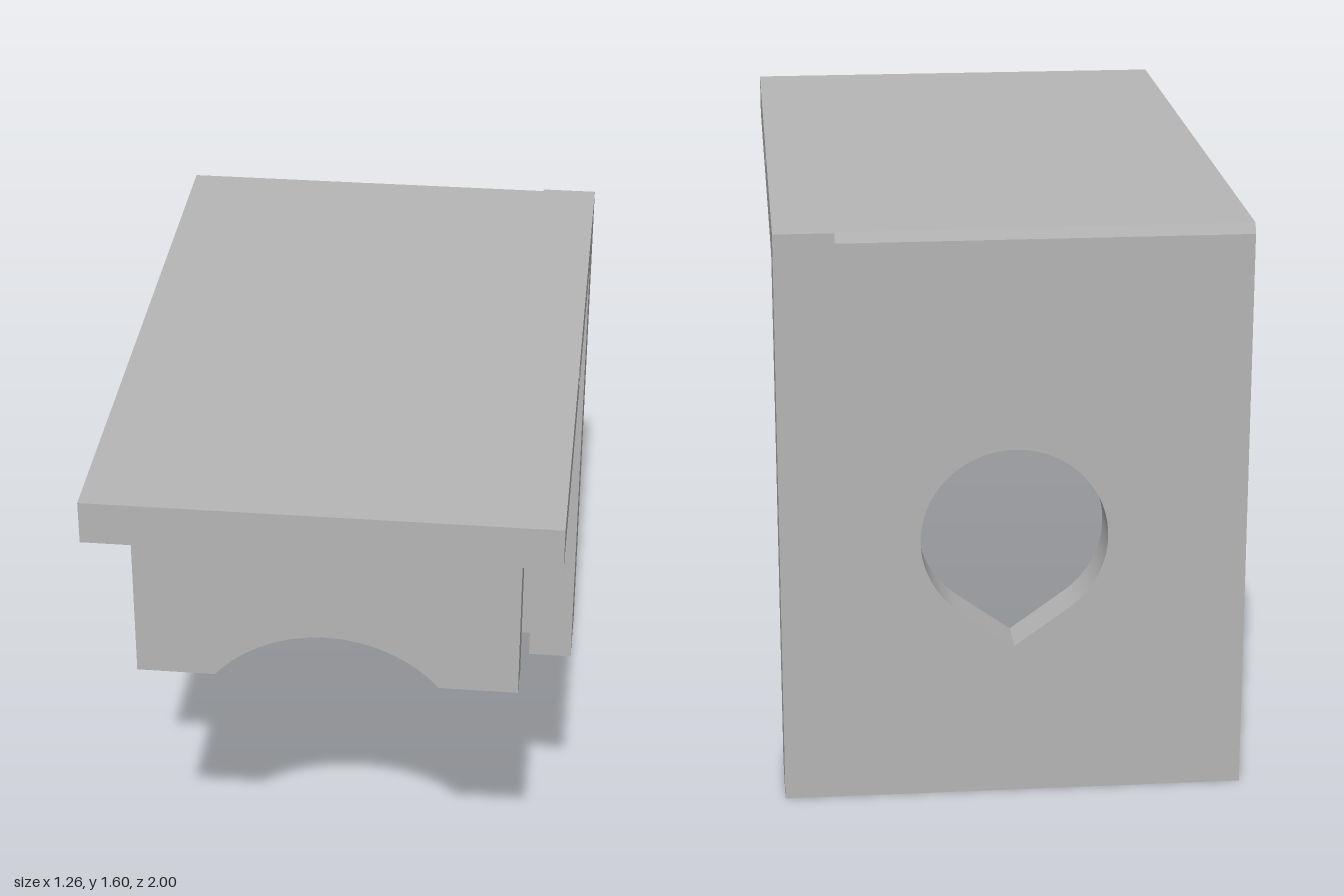
import * as THREE from 'three';

const HOLE_Y = 0.742; // shared axis height of the plate opening and the saddle arch

export function createModel() {
  const group = new THREE.Group();
  const grey = new THREE.MeshStandardMaterial({ color: 0xb6b6b6 });
  grey.name = 'plain grey';
  const greyInside = grey.clone();
  greyInside.side = THREE.BackSide;
  greyInside.name = 'plain grey, inner face';

  const add = (name, geometry, material = grey) => {
    const mesh = new THREE.Mesh(geometry, material);
    mesh.name = name;
    group.add(mesh);
    return mesh;
  };
  const polygon = (points) => new THREE.Shape(points.map(([x, y]) => new THREE.Vector2(x, y)));

  // Extrude an x-y outline between two z positions
  const alongZ = (shape, z0, z1) =>
    new THREE.ExtrudeGeometry(shape, { depth: z1 - z0, bevelEnabled: false, curveSegments: 48 })
      .translate(0, 0, z0);
  // Extrude a side outline (drawn as -z, y) between two x positions
  const alongX = (shape, x0, x1) =>
    new THREE.ExtrudeGeometry(shape, { depth: x1 - x0, bevelEnabled: false, curveSegments: 24 })
      .rotateY(Math.PI / 2).translate(x0, 0, 0);

  // Half outline (right side, top to bottom) mirrored, with an arch cut in the underside
  const archedShape = (half, radius) => {
    const shape = new THREE.Shape();
    const bottom = half[half.length - 1][1];
    const end = Math.asin((bottom - HOLE_Y) / radius);
    shape.moveTo(-half[0][0], half[0][1]);
    half.forEach(([x, y], i) => { if (i) shape.lineTo(-x, y); });
    shape.lineTo(-radius * Math.cos(end), bottom);
    shape.absarc(0, HOLE_Y, radius, Math.PI - end, end, true);
    [...half].reverse().forEach(([x, y]) => shape.lineTo(x, y));
    return shape;
  };

  // Back plate with a teardrop opening
  const plate = polygon([[-0.63, 0], [0.63, 0], [0.63, 1.48], [-0.63, 1.48]]);
  const radius = 0.253;
  const tangent = Math.acos(radius / (HOLE_Y - 0.43));
  const opening = new THREE.Path();
  opening.moveTo(0, 0.43);
  opening.lineTo(radius * Math.sin(tangent), HOLE_Y - radius * Math.cos(tangent));
  opening.absarc(0, HOLE_Y, radius, -Math.PI / 2 + tangent, Math.PI * 1.5 - tangent, false);
  opening.lineTo(0, 0.43);
  plate.holes.push(opening);
  add('backPlate', alongZ(plate, -1, -0.876));

  // Stiffening rib down one edge of the plate
  add('edgeRib', new THREE.BoxGeometry(0.14, 1.48, 0.126).translate(0.56, 0.74, -0.813));

  // Top shelf: eased rear edge over most of its width, square at one end
  const square = () => polygon([[-1, 1.48], [1, 1.48], [1, 1.6], [-1, 1.6]]);
  const eased = polygon([[-1, 1.48], [1, 1.48], [1, 1.572], [0.988, 1.6], [-1, 1.6]]);
  add('shelfMain', alongX(eased, -0.63, 0.47));
  add('shelfSquareEnd', alongX(square(), 0.47, 0.59));
  const drilled = square();
  drilled.holes.push(new THREE.Path().absarc(-0.07, 1.54, 0.036, 0, Math.PI * 2, true));
  add('shelfDrilledEdge', alongX(drilled, 0.59, 0.63));

  // Conical dimple in the shelf edge
  add('edgeDimple', new THREE.ConeGeometry(0.036, 0.04, 24, 1, true)
    .rotateZ(Math.PI / 2).translate(0.61, 1.54, 0.07), greyInside);

  // End blocks under the shelf
  const blockHalf = [[0.52, 1.48], [0.52, 1]];
  add('frontBlock', alongZ(archedShape(blockHalf, 0.4), 0.775, 0.88));
  add('rearBlock', alongZ(archedShape(blockHalf, 0.386), -0.876, -0.6));

  // Waisted saddle between the blocks, with a lip along each side
  const saddleHalf = [[0.46, 1.48], [0.376, 1.163], [0.425, 1.11], [0.36, 1]];
  add('saddle', alongZ(archedShape(saddleHalf, 0.386), -0.6, 0.775));

  return group;
}
